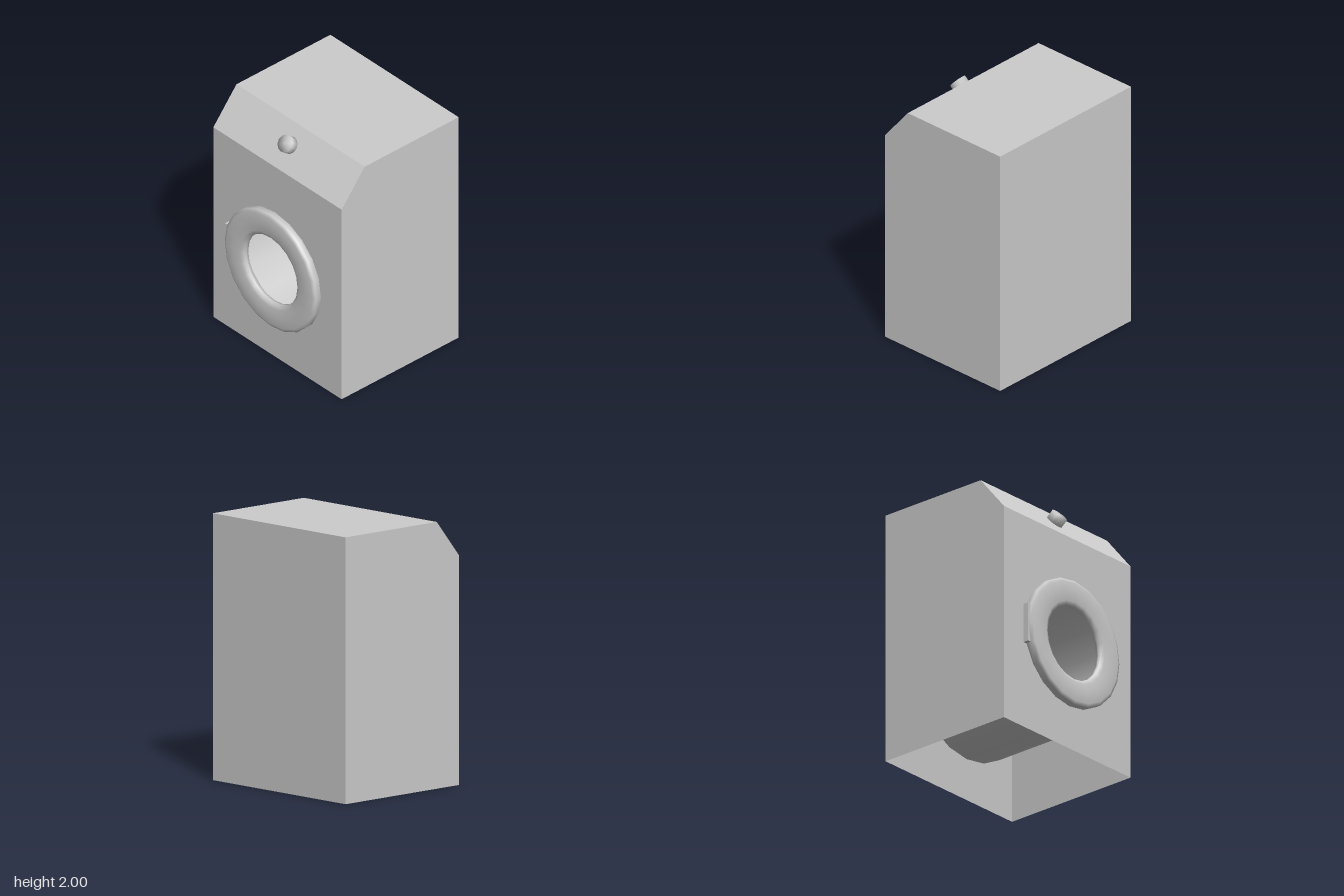
import * as THREE from 'three';
import { mergeVertices } from 'three/addons/utils/BufferGeometryUtils.js';

const W = 0.705, BACK = -0.625, FRONT = 0.54, TOP = 2;
const SLOPE_Y = 1.72, SLOPE_Z = 0.31, DOOR_Y = 0.83;

export function createModel() {
  const model = new THREE.Group();
  const solid = new THREE.MeshStandardMaterial({ color: 0xcccccc });
  const sheet = new THREE.MeshStandardMaterial({ color: 0xcccccc, side: THREE.DoubleSide });

  const add = (parent, name, geometry, material, x = 0, y = 0, z = 0) => {
    const mesh = new THREE.Mesh(geometry, material);
    mesh.name = name;
    mesh.position.set(x, y, z);
    parent.add(mesh);
    return mesh;
  };

  // Cabinet: thin sheet shell, open underneath
  const cabinet = new THREE.Group();
  cabinet.name = 'cabinet';
  model.add(cabinet);

  const frontShape = new THREE.Shape([
    [-W, 0], [W, 0], [W, SLOPE_Y], [-W, SLOPE_Y],
  ].map(([x, y]) => new THREE.Vector2(x, y)));
  const opening = new THREE.Path();
  opening.absarc(0, DOOR_Y, 0.4, 0, Math.PI * 2, true);
  frontShape.holes.push(opening);
  add(cabinet, 'frontPanel', new THREE.ShapeGeometry(frontShape, 20), sheet, 0, 0, FRONT);

  // Side outline is drawn with its horizontal axis running along -z
  const sideShape = new THREE.Shape([
    [FRONT, 0], [BACK, 0], [BACK, TOP], [SLOPE_Z, TOP], [FRONT, SLOPE_Y],
  ].map(([z, y]) => new THREE.Vector2(-z, y)));
  const sideGeometry = new THREE.ShapeGeometry(sideShape).rotateY(Math.PI / 2);
  add(cabinet, 'leftPanel', sideGeometry, sheet, W);
  // Mirrored copy of the side
  add(cabinet, 'rightPanel', sideGeometry, sheet, -W).scale.x = -1;

  add(cabinet, 'backPanel', new THREE.PlaneGeometry(2 * W, TOP).rotateY(Math.PI), sheet, 0, TOP / 2, BACK);
  add(cabinet, 'topPanel', new THREE.PlaneGeometry(2 * W, SLOPE_Z - BACK).rotateX(-Math.PI / 2),
    sheet, 0, TOP, (SLOPE_Z + BACK) / 2);

  // Sloping control panel
  const rise = TOP - SLOPE_Y, run = FRONT - SLOPE_Z;
  const tilt = Math.atan2(run, rise);
  add(cabinet, 'controlPanel', new THREE.PlaneGeometry(2 * W, Math.hypot(rise, run)).rotateX(-tilt),
    sheet, 0, (TOP + SLOPE_Y) / 2, (FRONT + SLOPE_Z) / 2);

  // Control knob, shaded smoothly over its rim
  let knob = new THREE.CylinderGeometry(0.068, 0.068, 0.075, 12);
  knob.deleteAttribute('normal');
  knob.deleteAttribute('uv');
  knob = mergeVertices(knob);
  knob.computeVertexNormals();
  add(model, 'knob', knob, solid, 0, 1.89, 0.437).rotation.x = Math.PI / 2 - tilt;

  // Door ring: softened rectangular section turned about the door axis
  const section = [
    [0.29, 0], [0.295, -0.022], [0.325, -0.036], [0.4, -0.04], [0.475, -0.038], [0.502, -0.024],
    [0.502, 0.024], [0.475, 0.038], [0.4, 0.04], [0.325, 0.036], [0.295, 0.022], [0.29, 0],
  ].map(([r, h]) => new THREE.Vector2(r, h));
  add(model, 'doorRing', new THREE.LatheGeometry(section, 20).rotateX(Math.PI / 2), solid, 0, DOOR_Y, 0.586);

  // Door handle on the ring's edge
  add(model, 'doorHandle', new THREE.BoxGeometry(0.08, 0.31, 0.045), solid, -0.467, DOOR_Y, 0.58);

  // Drum inside the cabinet, open towards the door
  const drum = new THREE.Group();
  drum.name = 'drum';
  drum.position.y = DOOR_Y;
  model.add(drum);
  add(drum, 'drumWall', new THREE.CylinderGeometry(0.62, 0.62, 0.8, 20, 1, true).rotateX(Math.PI / 2),
    sheet, 0, 0, -0.05);
  add(drum, 'drumBack', new THREE.CircleGeometry(0.62, 20), sheet, 0, 0, -0.45);

  return model;
}
